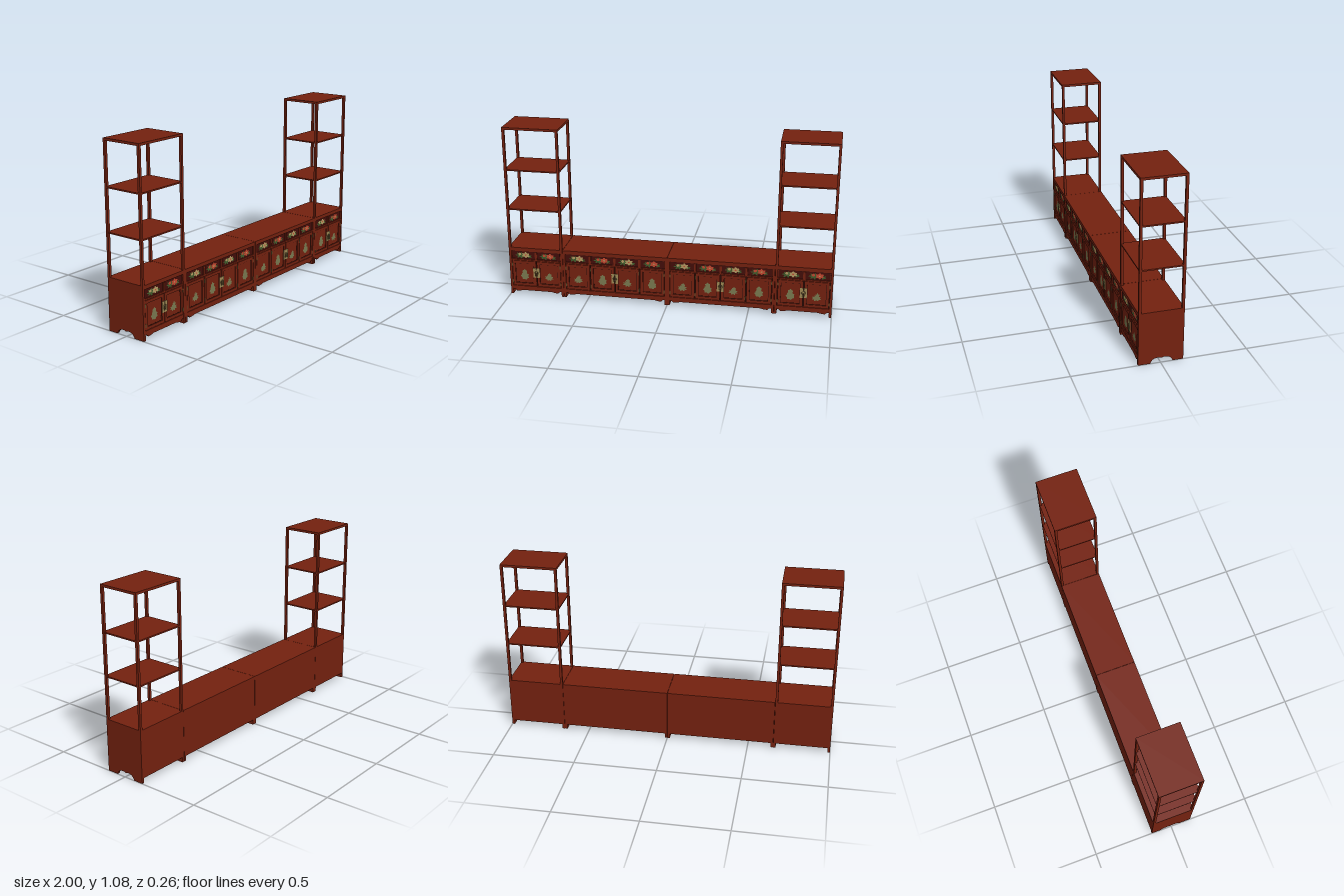
import * as THREE from 'three';

const material = (name, color) => new THREE.MeshStandardMaterial({ name, color });

const wood = material('red wood', 0x74210f);
const lacquer = material('dark lacquer', 0x430d08);
const groove = material('groove shadow', 0x2a0b06);
const brass = material('brass', 0xa08a55);
const darkBrass = material('aged brass', 0x5a4a28);
const sage = material('sage paint', 0x7a7a50);
const leaf = material('leaf green', 0x3f5c2c);
const coral = material('coral paint', 0xc4482f);
const cream = material('cream paint', 0xb59a62);

const BACK = -0.13, FRONT = 0.127, TOP = 0.315, POST = 0.015;

function add(parent, name, geometry, mat) {
  const mesh = new THREE.Mesh(geometry, mat);
  mesh.name = name;
  parent.add(mesh);
  return mesh;
}

// Box given by its lower and upper corners
function box(parent, name, mat, x0, x1, y0, y1, z0, z1) {
  const mesh = add(parent, name, new THREE.BoxGeometry(x1 - x0, y1 - y0, z1 - z0), mat);
  mesh.position.set((x0 + x1) / 2, (y0 + y1) / 2, (z0 + z1) / 2);
  return mesh;
}

// Flat painted blossom with a wavy outline
function blossom(parent, name, mat, x, y, z, rx, ry, petals, depth = 0.25, turn = 0) {
  const points = [];
  const count = petals * 6;
  for (let i = 0; i < count; i++) {
    const a = (i / count) * Math.PI * 2;
    const r = 1 - depth * (0.5 + 0.5 * Math.cos(petals * a + turn));
    points.push(new THREE.Vector2(Math.cos(a) * rx * r, Math.sin(a) * ry * r));
  }
  add(parent, name, new THREE.ShapeGeometry(new THREE.Shape(points)), mat).position.set(x, y, z);
}

// Rectangular border made of four bars
function border(parent, name, mat, x0, x1, y0, y1, z0, z1, t) {
  box(parent, name, mat, x0, x0 + t, y0, y1, z0, z1);
  box(parent, name, mat, x1 - t, x1, y0, y1, z0, z1);
  box(parent, name, mat, x0 + t, x1 - t, y0, y0 + t, z0, z1);
  box(parent, name, mat, x0 + t, x1 - t, y1 - t, y1, z0, z1);
}

// Side board whose lower edge is cut into a double arch between two feet
function sidePanel(parent, x) {
  const s = new THREE.Shape();
  s.moveTo(BACK, 0);
  s.lineTo(-0.07, 0);
  s.quadraticCurveTo(-0.06, 0.03, -0.025, 0.031);
  s.quadraticCurveTo(-0.01, 0.031, -0.006, 0.026);
  s.quadraticCurveTo(0, 0.031, 0.018, 0.031);
  s.quadraticCurveTo(0.05, 0.03, 0.058, 0);
  s.lineTo(FRONT, 0);
  s.lineTo(FRONT, 0.292);
  s.lineTo(BACK, 0.292);
  const g = new THREE.ExtrudeGeometry(s, { depth: POST, bevelEnabled: false, curveSegments: 8 });
  g.rotateY(-Math.PI / 2);
  add(parent, 'sidePanel', g, wood).position.x = x + POST;
}

// Scalloped board under the doors
function apron(parent, x0, x1) {
  const s = new THREE.Shape();
  s.moveTo(x0, 0.055);
  s.lineTo(x0, 0.032);
  s.quadraticCurveTo(x0 + 0.015, 0.032, x0 + 0.022, 0.019);
  s.quadraticCurveTo(x0 + 0.045, 0.019, x0 + 0.065, 0.026);
  s.lineTo(x1 - 0.065, 0.026);
  s.quadraticCurveTo(x1 - 0.045, 0.019, x1 - 0.022, 0.019);
  s.quadraticCurveTo(x1 - 0.015, 0.032, x1, 0.032);
  s.lineTo(x1, 0.055);
  const g = new THREE.ExtrudeGeometry(s, { depth: 0.012, bevelEnabled: false, curveSegments: 6 });
  add(parent, 'apron', g, wood).position.z = 0.113;
}

function drawer(parent, x0, x1, index) {
  const c = (x0 + x1) / 2, y = 0.263, z = 0.1205;
  box(parent, 'drawerFront', lacquer, x0, x1, 0.238, 0.288, 0.114, 0.12);
  const bloom = index % 2 ? coral : cream;
  blossom(parent, 'paintedLeaves', leaf, c - 0.022, y - 0.002, z, 0.034, 0.021, 7, 0.5);
  blossom(parent, 'paintedLeaves', leaf, c + 0.034, y - 0.006, z, 0.018, 0.013, 5, 0.5);
  blossom(parent, 'paintedFlower', bloom, c + 0.012, y + 0.002, z + 0.0006, 0.027, 0.02, 6, 0.35);
  blossom(parent, 'paintedBud', index % 2 ? coral : cream, c - 0.026, y + 0.006, z + 0.0006, 0.011, 0.01, 5);
  blossom(parent, 'flowerHeart', index % 2 ? cream : coral, c + 0.012, y + 0.002, z + 0.0012, 0.006, 0.005, 5);
}

function door(parent, x0, x1, tall, hingeSide) {
  const c = (x0 + x1) / 2, y0 = 0.058, y1 = 0.226;
  box(parent, 'doorPanel', wood, x0, x1, y0, y1, 0.114, 0.12);
  border(parent, 'doorFrame', wood, x0, x1, y0, y1, 0.12, 0.125, 0.017);
  border(parent, 'doorGroove', groove, x0 + 0.017, x1 - 0.017, y0 + 0.017, y1 - 0.017, 0.12, 0.1206, 0.003);
  // Painted plant
  if (tall) {
    blossom(parent, 'paintedPlant', sage, c, 0.122, 0.1208, 0.027, 0.026, 7, 0.2);
    blossom(parent, 'paintedPlant', sage, c, 0.146, 0.1211, 0.017, 0.023, 6, 0.2);
  } else {
    blossom(parent, 'paintedPlant', sage, c, 0.119, 0.1208, 0.029, 0.02, 8, 0.35);
    blossom(parent, 'paintedPlant', sage, c + 0.005, 0.134, 0.1211, 0.014, 0.021, 6, 0.35);
  }
  // Hinges
  const hx = hingeSide < 0 ? x0 : x1;
  for (const hy of [0.085, 0.198]) {
    box(parent, 'hinge', darkBrass, hx - 0.003, hx + 0.003, hy - 0.011, hy + 0.011, 0.12, 0.1275);
  }
}

function cabinet(name, left, right, bays, firstTall) {
  const g = new THREE.Group();
  g.name = name;
  const x0 = left + 0.0008, x1 = right - 0.0008, a = x0 + POST, b = x1 - POST;
  sidePanel(g, x0);
  sidePanel(g, b);
  box(g, 'topBoard', wood, x0, x1, 0.292, TOP, BACK, FRONT);
  box(g, 'carcass', wood, a, b, 0.042, 0.292, BACK + 0.008, 0.114);
  box(g, 'backPanel', wood, a, b, 0.03, 0.292, BACK, BACK + 0.008);
  box(g, 'topGroove', groove, a, b, 0.288, 0.292, 0.114, 0.121);
  box(g, 'middleRail', wood, a, b, 0.229, 0.238, 0.114, 0.126);
  box(g, 'doorGap', groove, a, b, 0.055, 0.229, 0.114, 0.116);
  apron(g, a, b);

  const w = (b - a) / bays;
  for (let i = 0; i < bays; i++) {
    const l = a + i * w, r = l + w;
    drawer(g, l + 0.004, r - 0.004, i);
    if (i > 0) box(g, 'drawerDivider', wood, l - 0.007, l + 0.007, 0.238, 0.288, 0.114, 0.126);
    door(g, l + 0.003, r - 0.003, (i % 2 === 0) === firstTall, i < bays / 2 ? -1 : 1);
  }

  // Square lock plate with a round boss and two pulls
  const c = (left + right) / 2;
  for (const s of [-1, 1]) {
    const p0 = c + s * 0.001, p1 = c + s * 0.021;
    box(g, 'lockPlate', brass, Math.min(p0, p1), Math.max(p0, p1), 0.118, 0.182, 0.125, 0.128);
    box(g, 'pull', darkBrass, c + s * 0.007 - 0.002, c + s * 0.007 + 0.002, 0.13, 0.158, 0.128, 0.132);
  }
  const boss = add(g, 'lockBoss', new THREE.TorusGeometry(0.012, 0.0015, 6, 20), darkBrass);
  boss.position.set(c, 0.15, 0.1285);
  return g;
}

// Open shelf tower standing on an end cabinet
function tower(name, x0, x1) {
  const g = new THREE.Group();
  g.name = name;
  for (const x of [x0, x1 - POST]) {
    for (const z of [BACK, FRONT - POST]) {
      box(g, 'towerPost', wood, x, x + POST, TOP, 1.07, z, z + POST);
    }
  }
  box(g, 'towerTop', wood, x0, x1, 1.07, 1.084, BACK, FRONT);
  for (const y of [0.562, 0.813]) {
    box(g, 'shelf', wood, x0 + 0.002, x1 - 0.002, y, y + 0.008, BACK + 0.002, FRONT - 0.002);
  }
  return g;
}

export function createModel() {
  const model = new THREE.Group();
  model.name = 'wallCabinet';
  const edge = 0.655;
  model.add(
    cabinet('rightEndCabinet', -1, -edge, 2, true),
    cabinet('rightMiddleCabinet', -edge, 0, 4, false),
    cabinet('leftMiddleCabinet', 0, edge, 4, false),
    cabinet('leftEndCabinet', edge, 1, 2, true),
    tower('rightTower', -0.9992, -edge - 0.001),
    tower('leftTower', edge + 0.001, 0.9992),
  );
  return model;
}
